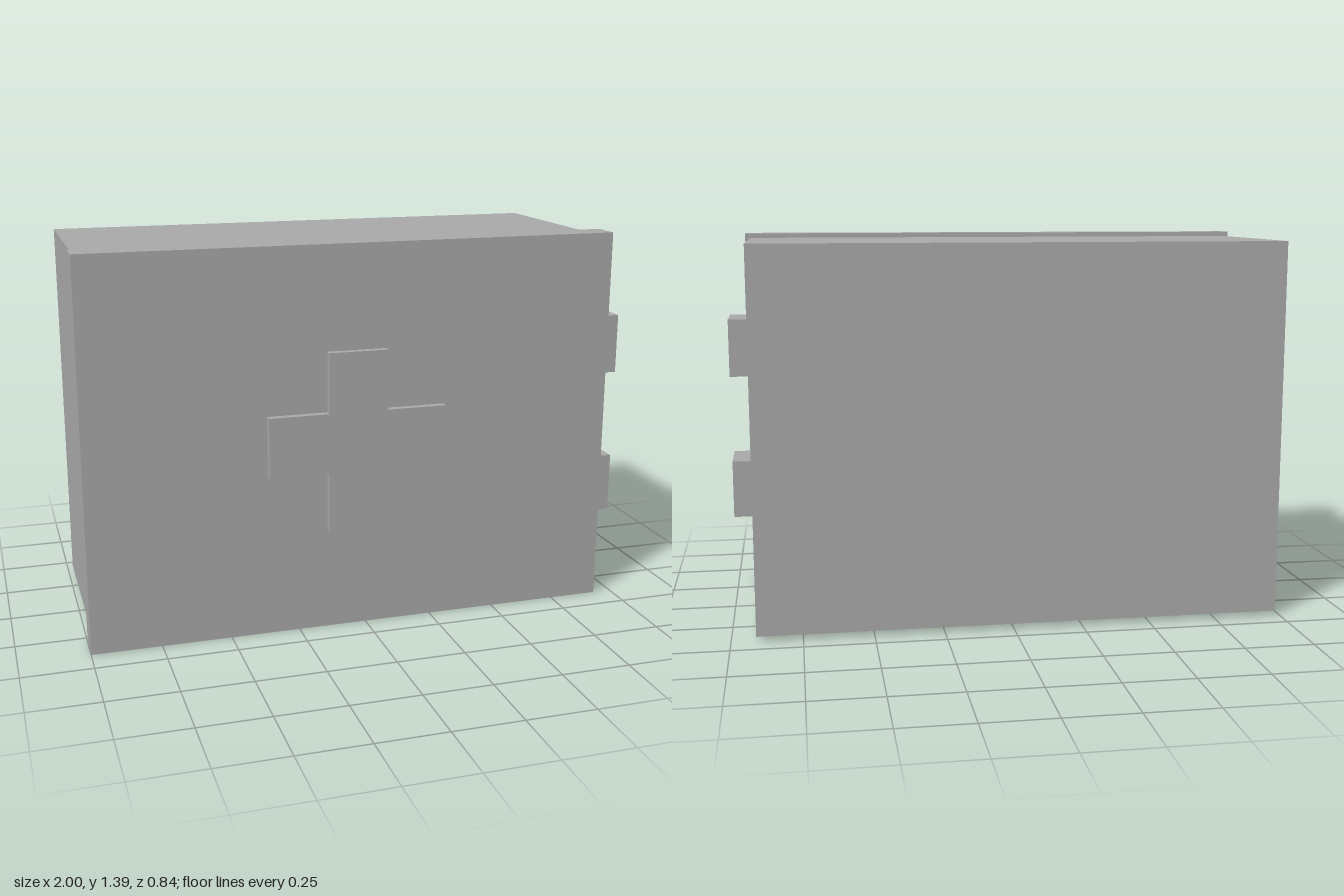
import * as THREE from 'three';

export function createModel() {
  const model = new THREE.Group();
  model.name = 'firstAidCabinet';
  const grey = new THREE.MeshStandardMaterial({ color: 0xa8a8a8 });
  grey.name = 'grey';

  // Box given by its extents along each axis
  function addBox(name, [x0, x1], [y0, y1], [z0, z1]) {
    const mesh = new THREE.Mesh(new THREE.BoxGeometry(x1 - x0, y1 - y0, z1 - z0), grey);
    mesh.position.set((x0 + x1) / 2, (y0 + y1) / 2, (z0 + z1) / 2);
    mesh.name = name;
    model.add(mesh);
  }

  // Case and slightly larger door
  addBox('caseBody', [-0.982, 0.913], [0.018, 1.378], [-0.421, 0.286]);
  addBox('door', [-1, 0.931], [0, 1.395], [0.286, 0.394]);

  // Two latches bridging the door and the case
  addBox('lowerLatch', [0.913, 1], [0.318, 0.535], [0.124, 0.341]);
  addBox('upperLatch', [0.913, 1], [0.862, 1.079], [0.124, 0.341]);

  // Raised cross: a quarter outline turned four times
  const inner = 0.1085, outer = 0.325;
  const points = [];
  for (let i = 0; i < 4; i++) {
    for (const [x, y] of [[outer, -inner], [outer, inner], [inner, inner]]) {
      points.push(new THREE.Vector2(x, y).rotateAround(new THREE.Vector2(), i * Math.PI / 2));
    }
  }
  const cross = new THREE.Mesh(
    new THREE.ExtrudeGeometry(new THREE.Shape(points), { depth: 0.027, bevelEnabled: false }), grey);
  cross.position.set(-0.0355, 0.698, 0.394);
  cross.name = 'cross';
  model.add(cross);

  return model;
}
